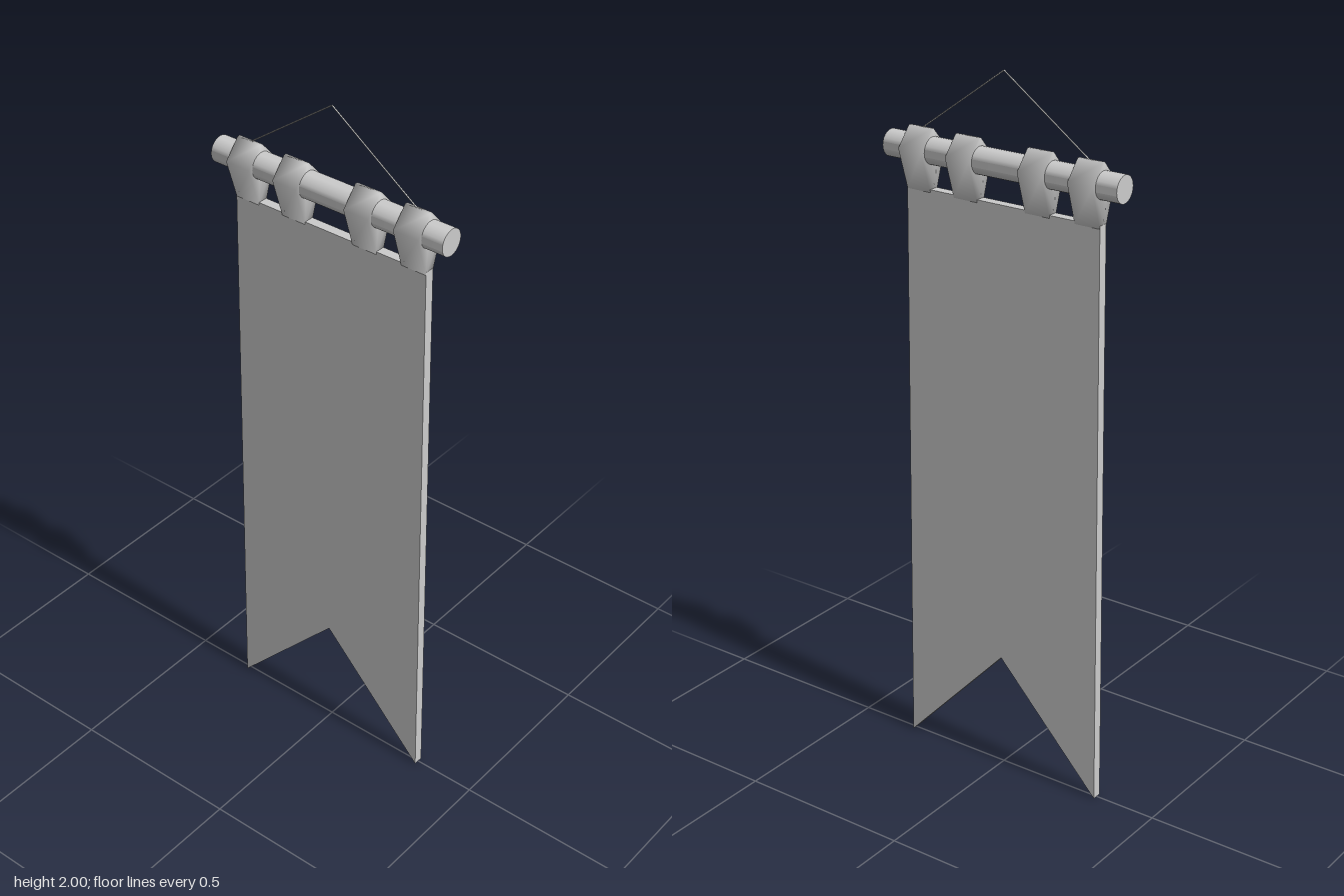
import * as THREE from 'three';
import { mergeVertices, toCreasedNormals } from 'three/addons/utils/BufferGeometryUtils.js';

const material = new THREE.MeshStandardMaterial({ color: 0xcccccc });

// Flat outline extruded to a depth centred on z = 0
function slab(points, depth) {
  const shape = new THREE.Shape(points.map(([x, y]) => new THREE.Vector2(x, y)));
  return new THREE.ExtrudeGeometry(shape, { depth, bevelEnabled: false }).translate(0, 0, -depth / 2);
}

export function createModel() {
  const group = new THREE.Group();
  const add = (name, geometry, x = 0, y = 0) => {
    const mesh = new THREE.Mesh(geometry, material);
    mesh.name = name;
    mesh.position.set(x, y, 0);
    group.add(mesh);
    return mesh;
  };
  const rodY = 1.755;

  // Swallow-tailed cloth, slightly wider at the hem
  add('cloth', slab([[-0.318, 0], [0, 0.34], [0.318, 0], [0.303, 1.653], [-0.303, 1.653]], 0.028));

  // Horizontal rod
  const rod = new THREE.CylinderGeometry(0.037, 0.037, 0.73, 24).rotateZ(Math.PI / 2);
  add('rod', toCreasedNormals(rod, 0.7), 0, rodY);

  // Hanging loops: kite profile around the rod, softly shaded
  let loop = slab([[-0.014, 1.645], [0.014, 1.645], [0.05, 1.76], [0.004, 1.813], [-0.004, 1.813], [-0.05, 1.76]], 0.075);
  loop.rotateY(Math.PI / 2);
  loop.deleteAttribute('normal');
  loop.deleteAttribute('uv');
  loop = mergeVertices(loop);
  loop.computeVertexNormals();
  for (const x of [-0.265, -0.113, 0.113, 0.265]) add('hangingLoop', loop, x);

  // Thin cord rising to the hanging point
  for (const side of [-1, 1]) {
    const path = new THREE.LineCurve3(new THREE.Vector3(side * 0.265, 1.808, 0), new THREE.Vector3(0, 1.998, 0));
    add('cord', new THREE.TubeGeometry(path, 1, 0.002, 6));
  }
  return group;
}
